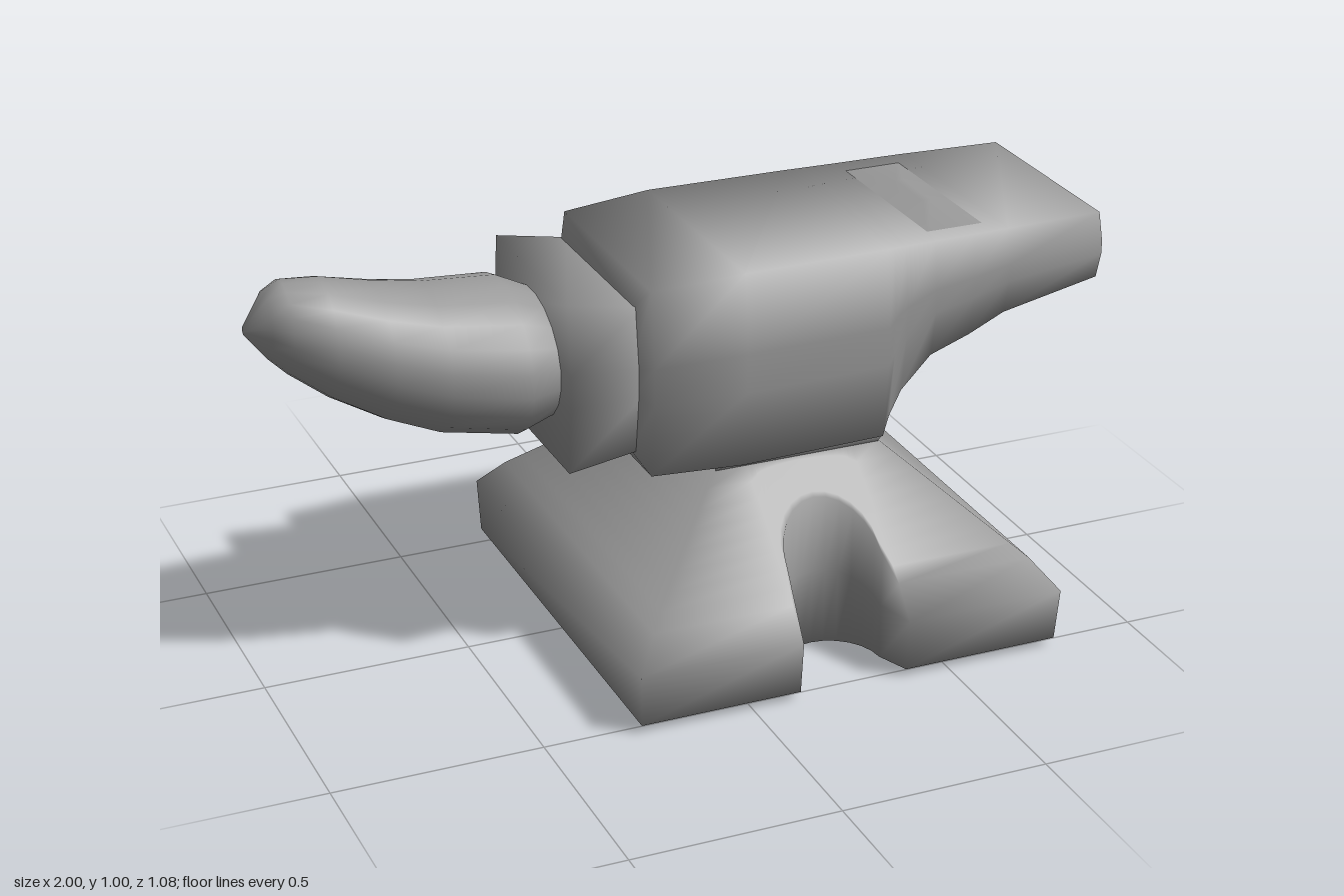
import * as THREE from 'three';
import { toCreasedNormals } from 'three/addons/utils/BufferGeometryUtils.js';

const { lerp } = THREE.MathUtils;
const material = new THREE.MeshStandardMaterial({ color: 0x9a9a9a });

// Skins a list of rings into a closed solid, smooth all over unless a crease angle is given.
// In each ring, point i mirrors point n-1-i, so the end caps are strips across those pairs.
function loft(name, rings, crease = Math.PI) {
  const n = rings[0].length, pos = rings.flat(2), index = [];
  const quad = (a, b, c, d) => index.push(a, b, c, a, c, d);
  for (let r = 0; r < rings.length - 1; r++) {
    for (let i = 0; i < n; i++) {
      const j = (i + 1) % n;
      quad(r * n + i, r * n + j, (r + 1) * n + j, (r + 1) * n + i);
    }
  }
  const last = (rings.length - 1) * n;
  for (let i = 0; i < n / 2 - 1; i++) {
    quad(n - 1 - i, n - 2 - i, i + 1, i);
    quad(last + i, last + i + 1, last + n - 2 - i, last + n - 1 - i);
  }
  // Turn the faces outward if the enclosed volume comes out negative
  const p = (i) => new THREE.Vector3().fromArray(pos, i * 3);
  let volume = 0;
  for (let t = 0; t < index.length; t += 3) {
    volume += p(index[t]).dot(p(index[t + 1]).cross(p(index[t + 2])));
  }
  if (volume < 0) index.reverse();
  const geometry = new THREE.BufferGeometry();
  geometry.setAttribute('position', new THREE.Float32BufferAttribute(pos, 3));
  geometry.setIndex(index);
  const mesh = new THREE.Mesh(toCreasedNormals(geometry, crease), material);
  mesh.name = name;
  return mesh;
}

// Eight-sided upright section with slightly bulging sides
function blockRing([x, bottom, top, w]) {
  const h = top - bottom, e = w * 0.93;
  const right = [[bottom, e], [bottom + h * 0.4, w], [bottom + h * 0.6, w], [top, e]];
  return [...right.map(([y, z]) => [x, y, z]), ...right.reverse().map(([y, z]) => [x, y, -z])];
}

// Oval upright section
function ovalRing([x, bottom, top, w]) {
  return Array.from({ length: 20 }, (_, i) => {
    const a = ((i + 0.5) / 20) * Math.PI * 2;
    return [x, (bottom + top) / 2 + (Math.cos(a) * (top - bottom)) / 2, Math.sin(a) * w];
  });
}

// Level rectangular section
function rectRing(y, x0, x1, w) {
  return [[x0, y, w], [x1, y, w], [x1, y, -w], [x0, y, -w]];
}

// Spreading base with a rounded notch in front and back
function createBase() {
  const topY = 0.46, topW = 0.212, kneeY = 0.22, kneeW = 0.48, slopeRows = 8;
  // y, left edge, right edge, half depth
  const levels = [
    [0.02, -0.275, 0.78, 0.53],
    [0.15, -0.28, 0.785, 0.542],
    [kneeY, -0.225, 0.73, kneeW],
  ];
  for (let s = 1; s <= slopeRows; s++) {
    const t = s / slopeRows;
    levels.push([lerp(kneeY, topY, t), lerp(-0.225, 0.04, t), lerp(0.73, 0.46, t), lerp(kneeW, topW, t)]);
  }
  const rings = levels.map(([y, x0, x1, w], row) => {
    const front = [[x0, y, w], [0.12, y, w]];
    for (let i = 0; i <= 12; i++) {
      const a = (i / 12) * Math.PI;
      const x = 0.255 - Math.cos(a) * 0.12, wallZ = 0.42 - Math.sin(a) * 0.125;
      // The notch wall rises straight until it meets the slope, then follows it
      const meetY = lerp(kneeY, topY, (kneeW - wallZ) / (kneeW - topW));
      const t = Math.max(0, row - 2) / slopeRows;
      front.push(row < 2 ? [x, lerp(0, meetY, row / 2), wallZ] : [x, lerp(meetY, topY, t), lerp(wallZ, topW, t)]);
    }
    front.push([0.39, y, w], [x1, y, w]);
    return [...front, ...front.slice().reverse().map(([x, yy, z]) => [x, yy, -z])];
  });
  return loft('base', rings);
}

export function createModel() {
  const model = new THREE.Group();
  model.name = 'anvil';

  model.add(createBase());

  // Short neck flaring out under the body
  model.add(loft('neck', [rectRing(0.455, 0.04, 0.46, 0.212), rectRing(0.505, 0.07, 0.44, 0.275)]));

  // Body and heel: x, bottom, top, half width
  model.add(loft('body', [
    [-0.17, 0.55, 0.9, 0.23],
    [-0.14, 0.5, 0.955, 0.285],
    [0.08, 0.495, 0.97, 0.303],
    [0.44, 0.5, 0.97, 0.297],
    [0.455, 0.55, 0.97, 0.296],
    [0.485, 0.61, 0.97, 0.295],
    [0.56, 0.685, 0.97, 0.292],
    [0.66, 0.72, 0.97, 0.29],
    [0.75, 0.76, 0.97, 0.287],
    [1, 0.805, 0.968, 0.275],
  ].map(blockRing)));

  // Collar between body and horn
  model.add(loft('collar', [
    [-0.325, 0.525, 0.937, 0.245],
    [-0.15, 0.553, 0.905, 0.245],
  ].map(blockRing)));

  // Upturned horn
  model.add(loft('horn', [
    [-0.3, 0.595, 0.88, 0.18],
    [-0.33, 0.585, 0.893, 0.185],
    [-0.4, 0.562, 0.927, 0.213],
    [-0.58, 0.595, 0.942, 0.187],
    [-0.7, 0.645, 0.965, 0.16],
    [-0.82, 0.715, 0.995, 0.125],
    [-0.91, 0.785, 1.005, 0.09],
    [-0.95, 0.825, 0.985, 0.06],
    [-1, 0.89, 0.91, 0.01],
  ].map(ovalRing)));

  // Low ridges across the top and underside of the heel
  model.add(loft('topRidge', [rectRing(0.965, 0.55, 0.73, 0.26), rectRing(0.986, 0.63, 0.65, 0.07)], 0.5));
  model.add(loft('lowerRidge', [rectRing(0.74, 0.62, 0.7, 0.14), rectRing(0.718, 0.64, 0.675, 0.11)], 0.5));

  return model;
}
